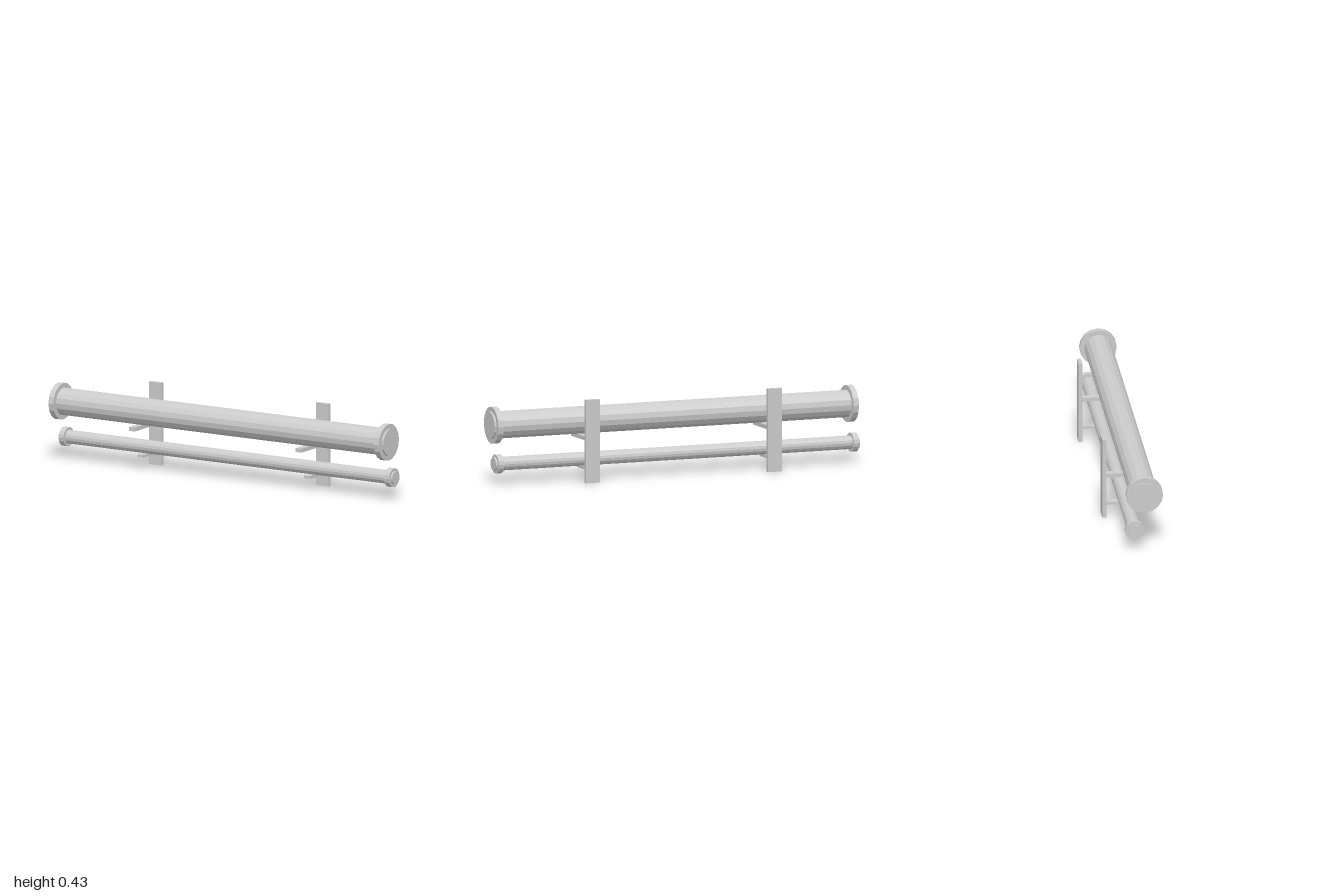
import * as THREE from 'three';

const material = new THREE.MeshStandardMaterial({ color: 0xcccccc, flatShading: true });

function add(parent, name, geometry, x, y, z) {
  const mesh = new THREE.Mesh(geometry, material);
  mesh.name = name;
  mesh.position.set(x, y, z);
  parent.add(mesh);
  return mesh;
}

// 16-sided cylinder lying along x
const rod = (radius, length) =>
  new THREE.CylinderGeometry(radius, radius, length, 16).rotateZ(Math.PI / 2);

// Rod with a collar just inside each end
function makeRod(name, radius, collarRadius, y, z) {
  const group = new THREE.Group();
  group.name = name;
  add(group, name + 'Bar', rod(radius, 2), 0, y, z);
  for (const side of [-1, 1]) {
    add(group, name + 'Collar', rod(collarRadius, 0.03), side * 0.975, y, z);
  }
  return group;
}

// Wall plate with two support arms reaching forward
function makeBracket(x) {
  const group = new THREE.Group();
  group.name = 'bracket';
  add(group, 'wallPlate', new THREE.BoxGeometry(0.076, 0.425, 0.02), x, 0.2125, -0.1175);
  const arms = [
    ['upperArm', 0.21, 0.23, 0.113],
    ['lowerArm', 0.061, 0.075, 0.033],
  ];
  for (const [name, bottom, top, front] of arms) {
    const back = -0.108;
    add(group, name, new THREE.BoxGeometry(0.035, top - bottom, front - back),
      x, (bottom + top) / 2, (front + back) / 2);
  }
  return group;
}

export function createModel() {
  const model = new THREE.Group();
  model.name = 'doubleRodRack';
  model.add(makeRod('upperRod', 0.07, 0.0945, 0.301, 0.033));
  model.add(makeRod('lowerRod', 0.035, 0.049, 0.11, -0.017));
  for (const x of [-0.5, 0.5]) model.add(makeBracket(x));
  return model;
}
